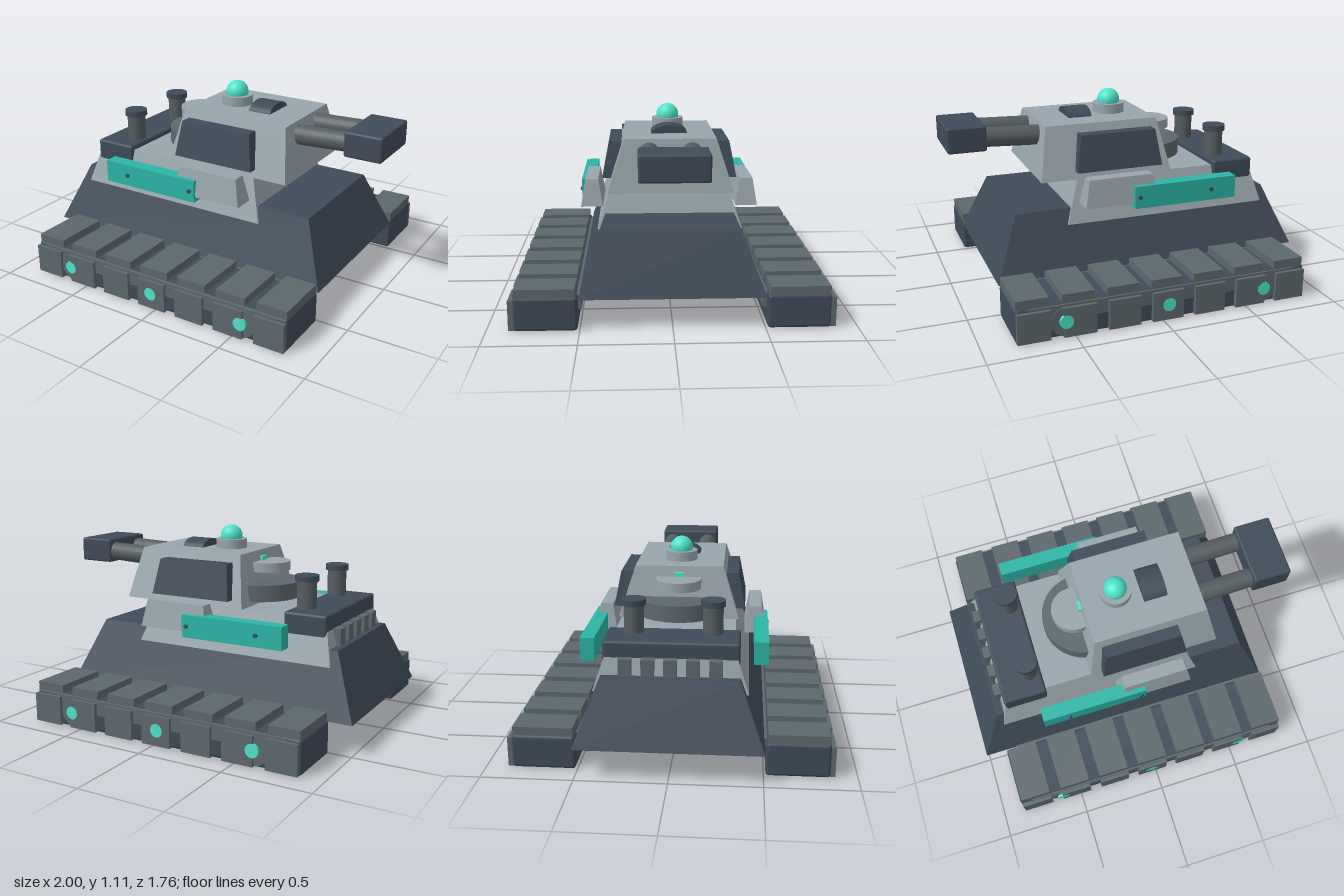
import * as THREE from 'three';
import { RoundedBoxGeometry } from 'three/addons/geometries/RoundedBoxGeometry.js';

const material = (color, flatShading = false) => new THREE.MeshStandardMaterial({ color, flatShading });
const navy = material(0x3f4b59);
const light = material(0x98a5ac);
const steel = material(0x5c686e);
const pipe = material(0x555d61);
const teal = material(0x2bb5a6);
const glow = material(0x4fe3cb);

export function createModel() {
  const model = new THREE.Group();
  model.name = 'tank';

  const add = (name, geometry, mat, x = 0, y = 0, z = 0) => {
    const mesh = new THREE.Mesh(geometry, mat);
    mesh.name = name;
    mesh.position.set(x, y, z);
    model.add(mesh);
    return mesh;
  };

  // Box from x and y ranges, with centre and depth along z
  const box = (name, mat, [x0, x1], [y0, y1], z, depth, radius = 0) => {
    const size = [x1 - x0, y1 - y0, depth];
    const geometry = radius ? new RoundedBoxGeometry(...size, 2, radius) : new THREE.BoxGeometry(...size);
    return add(name, geometry, mat, (x0 + x1) / 2, (y0 + y1) / 2, z);
  };

  // Tapered block: each end is [x0, x1, y, z centre, half depth]
  const taper = (name, mat, bottom, top) => {
    const geometry = new THREE.BoxGeometry(1, 1, 1).toNonIndexed();
    const p = geometry.attributes.position;
    for (let i = 0; i < p.count; i++) {
      const [x0, x1, y, zc, half] = p.getY(i) > 0 ? top : bottom;
      p.setXYZ(i, p.getX(i) > 0 ? x1 : x0, y, zc + Math.sign(p.getZ(i)) * half);
    }
    geometry.computeVertexNormals();
    return add(name, geometry, mat);
  };

  const cylinder = (name, mat, r, [y0, y1], x, z) =>
    add(name, new THREE.CylinderGeometry(r, r, y1 - y0, 32), mat, x, (y0 + y1) / 2, z);

  // Short cylinder facing sideways
  const sideDisc = (name, mat, r, length, x, y, z) => {
    const mesh = add(name, new THREE.CylinderGeometry(r, r, length, 24), mat, x, y, z);
    mesh.rotation.x = Math.PI / 2;
    return mesh;
  };

  // Hull and upper deck
  taper('hull', navy, [-1, 0.82, 0.185, 0, 0.505], [-0.855, 0.68, 0.535, 0, 0.37]);
  taper('upperDeck', light, [-0.83, 0.39, 0.45, 0, 0.415], [-0.77, 0.31, 0.685, 0, 0.335]);

  // Engine block with rear vents
  box('engineBlock', navy, [-0.785, -0.53], [0.56, 0.715], 0, 0.73, 0.015);
  for (let i = -2; i <= 2; i++) {
    box('rearVent', steel, [-0.83, -0.77], [0.5, 0.63], i * 0.12, 0.07);
  }

  // Turret
  taper('turret', light, [-0.26, 0.52, 0.69, 0, 0.35], [-0.2, 0.465, 0.985, 0, 0.255]);
  cylinder('beaconBase', light, 0.093, [0.97, 1.04], 0, 0);
  add('beacon', new THREE.SphereGeometry(0.066, 32, 20), glow, 0, 1.056, 0);

  // Domed roof hatch, curved across the turret
  const hatch = add('roofHatch', new THREE.CylinderGeometry(0.105, 0.105, 0.14, 32), navy, 0.21, 0.975, 0);
  hatch.rotation.z = Math.PI / 2;
  hatch.scale.x = 0.52;

  // Stacked drums behind the turret
  cylinder('lowerRearDrum', steel, 0.245, [0.715, 0.81], -0.195, 0);
  cylinder('upperRearDrum', light, 0.13, [0.87, 0.925], -0.25, 0);
  box('rearLamp', glow, [-0.225, -0.205], [0.92, 0.95], 0, 0.055);

  // Shared muzzle block
  box('muzzleBlock', navy, [0.78, 1], [0.855, 1], 0, 0.365, 0.012);

  for (const s of [1, -1]) {
    // Gun barrels, tilted slightly up
    const barrel = add('gunBarrel', new THREE.CylinderGeometry(0.055, 0.058, 0.44, 24), pipe, 0.6, 0.914, s * 0.118);
    barrel.rotation.z = -Math.PI / 2 + 0.04;

    // Exhaust stacks
    cylinder('exhaustStack', pipe, 0.055, [0.7, 0.87], -0.6, s * 0.215);
    cylinder('exhaustCap', navy, 0.067, [0.867, 0.9], -0.6, s * 0.215);

    // Turret cheek armour and side pods
    taper('cheekArmour', navy, [-0.19, 0.32, 0.735, s * 0.33, 0.055], [-0.16, 0.285, 0.94, s * 0.31, 0.035]);
    taper('sidePod', light, [-0.12, 0.315, 0.565, s * 0.447, 0.063], [-0.09, 0.285, 0.72, s * 0.447, 0.037]);

    // Side armour plates with bolts
    box('sidePlate', teal, [-0.595, 0.03], [0.535, 0.665], s * 0.48, 0.08);
    for (const x of [-0.44, 0]) sideDisc('plateBolt', navy, 0.012, 0.02, x, 0.6, s * 0.52);

    // Track body, mounting rail and treads
    box('trackBody', navy, [-0.875, 0.82], [0.01, 0.2], s * 0.683, 0.345, 0.018);
    box('trackRail', steel, [-0.8, 0.755], [0.11, 0.195], s * 0.675, 0.37);
    for (let i = 0; i < 7; i++) {
      const x = -0.865 + i * 0.25;
      box('topTread', steel, [x, x + 0.18], [0.18, 0.245], s * 0.685, 0.325);
      box('sideTread', steel, [x, x + 0.18], [0.015, 0.182], s * 0.855, 0.05);
    }

    // Road wheels with bright hubs
    for (const x of [-0.61, -0.03, 0.55]) {
      sideDisc('roadWheel', steel, 0.083, 0.04, x, 0.1, s * 0.845);
      sideDisc('wheelHub', glow, 0.038, 0.05, x, 0.103, s * 0.856);
    }
  }
  return model;
}
